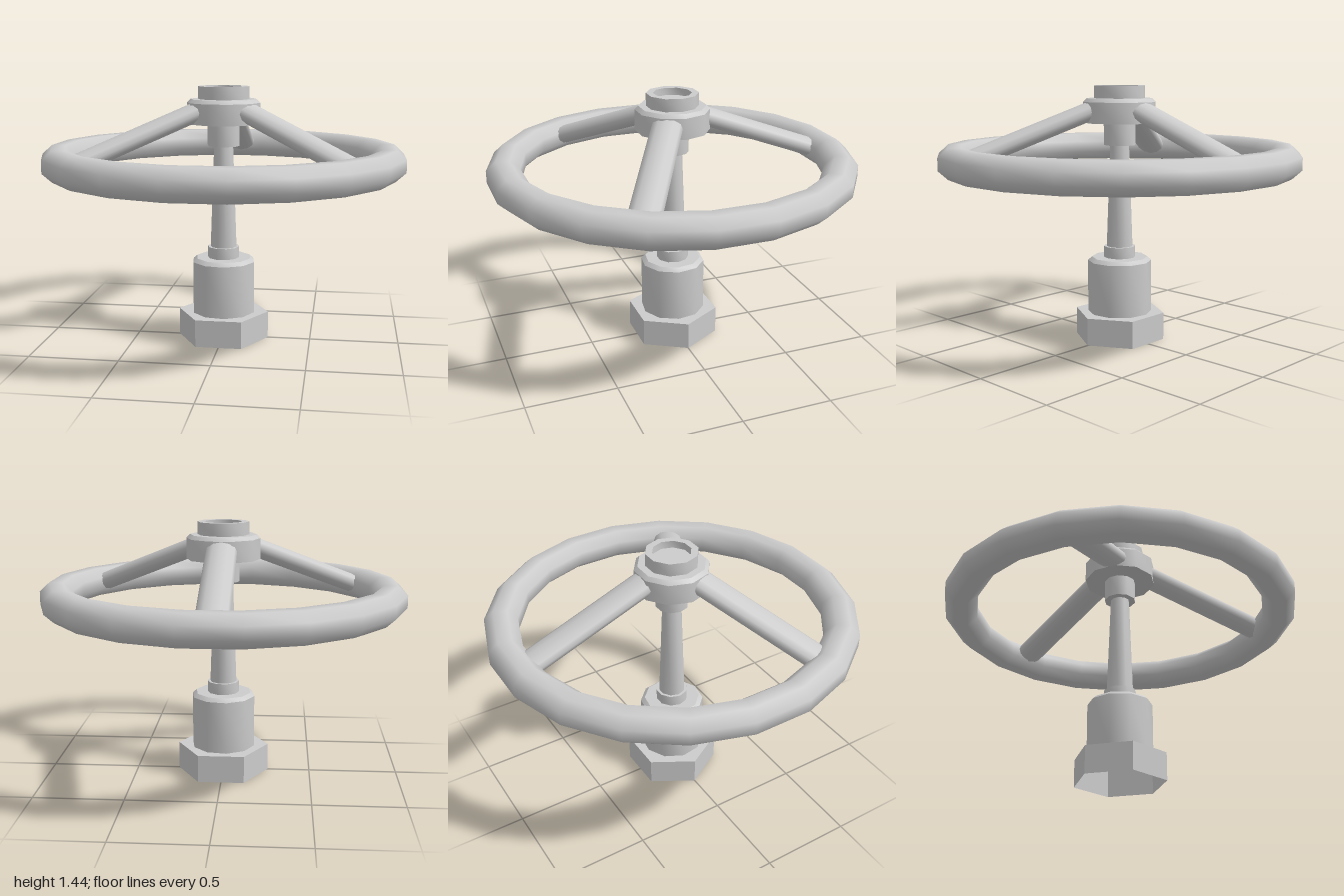
import * as THREE from 'three';
import { toCreasedNormals } from 'three/addons/utils/BufferGeometryUtils.js';

const material = new THREE.MeshStandardMaterial({ color: 0xcccccc });
const openMaterial = new THREE.MeshStandardMaterial({ color: 0xcccccc, side: THREE.DoubleSide });

// Turned part from [radius, height] pairs, listed bottom to top
function turned(name, profile, sides, turn, mat = material) {
  const points = profile.map(([r, y]) => new THREE.Vector2(r, y));
  const geometry = new THREE.LatheGeometry(points, sides, turn);
  const mesh = new THREE.Mesh(toCreasedNormals(geometry, 0.7), mat);
  mesh.name = name;
  return mesh;
}

export function createModel() {
  const model = new THREE.Group();
  model.name = 'valveHandwheel';
  const quarter = Math.PI / 2;

  // Hollow hexagonal nut, open underneath
  model.add(turned('hexNut', [[0.258, 0], [0.258, 0.155], [0, 0.155]], 6, quarter, openMaterial));

  // Valve body with chamfered shoulder
  model.add(turned('valveBody', [
    [0, 0.15], [0.181, 0.15], [0.181, 0.452], [0.158, 0.472], [0, 0.472],
  ], 10, Math.PI / 20));

  // Collar, tapered stem and the neck under the hub
  model.add(turned('stemCollar', [[0, 0.46], [0.09, 0.46], [0.09, 0.535], [0, 0.535]], 10, quarter));
  model.add(turned('stem', [[0.075, 0.52], [0.053, 1.13]], 10, quarter));
  model.add(turned('neck', [[0, 1.11], [0.09, 1.11], [0.09, 1.25], [0, 1.25]], 10, quarter));

  // Hub with chamfered rim and a recessed top boss
  model.add(turned('hub', [
    [0, 1.235], [0.205, 1.235], [0.205, 1.35], [0.185, 1.37], [0.143, 1.37],
    [0.143, 1.44], [0.105, 1.44], [0.105, 1.4], [0, 1.4],
  ], 10, quarter));

  // Faceted rim: an octagonal section swept around the axis
  const section = [];
  for (let i = 0; i <= 8; i++) {
    const a = (i + 0.5) * Math.PI / 4;
    section.push(new THREE.Vector2(0.921 + 0.098 * Math.cos(a), 1.032 + 0.09 * Math.sin(a)));
  }
  const rimGeometry = new THREE.LatheGeometry(section, 20, Math.PI / 20);
  const rim = new THREE.Mesh(toCreasedNormals(rimGeometry, 0.9), material);
  rim.name = 'wheelRim';
  model.add(rim);

  // Three flattened spokes sloping from the hub to the rim
  const inner = new THREE.Vector3(0, 1.315, -0.13);
  const outer = new THREE.Vector3(0, 1.03, -0.875);
  const run = outer.clone().sub(inner);
  const spokeGeometry = new THREE.CylinderGeometry(1, 1, run.length(), 12);
  spokeGeometry.scale(0.085, 1, 0.053);
  for (let i = 0; i < 3; i++) {
    const spoke = new THREE.Group();
    spoke.name = 'spoke' + (i + 1);
    const bar = new THREE.Mesh(spokeGeometry, material);
    bar.name = 'spokeBar';
    bar.position.copy(inner).add(outer).multiplyScalar(0.5);
    bar.rotation.x = Math.atan2(run.z, run.y);
    spoke.add(bar);
    spoke.rotation.y = i * Math.PI * 2 / 3;
    model.add(spoke);
  }
  return model;
}
